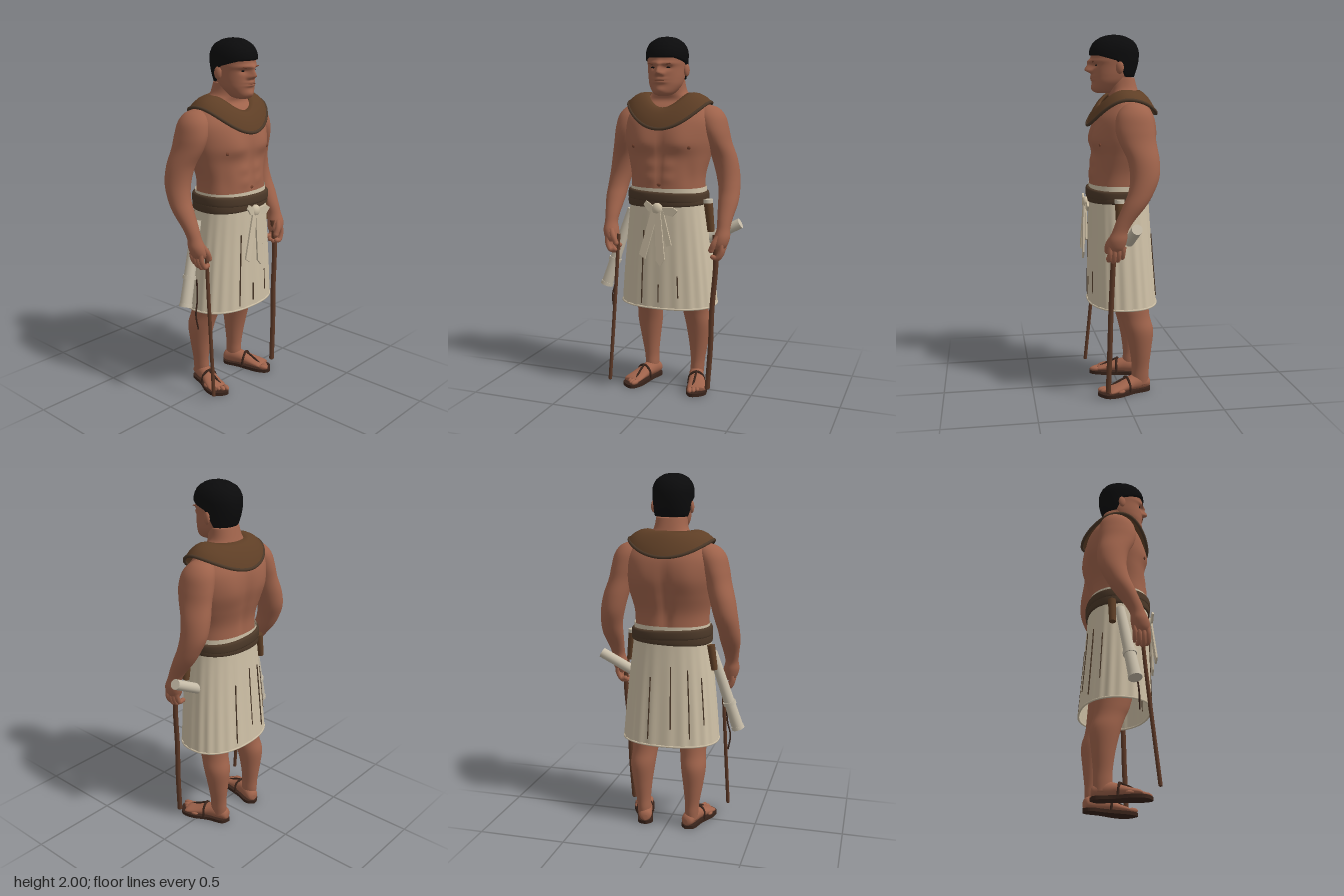
import * as THREE from 'three';

const mat = (name, color, side = THREE.FrontSide) => {
  const m = new THREE.MeshStandardMaterial({ color, side });
  m.name = name;
  return m;
};
const V = (x, y, z) => new THREE.Vector3(x, y, z);
const bell = (x, w) => Math.exp(-((x / w) ** 2));

// Skin joining closed rows of points; rows run upward
function grid(rows, caps = true) {
  const n = rows[0].length, pos = [], idx = [];
  rows.forEach(r => r.forEach(p => pos.push(p.x, p.y, p.z)));
  for (let i = 0; i < rows.length - 1; i++) for (let j = 0; j < n; j++) {
    const a = i * n + j, b = i * n + (j + 1) % n;
    idx.push(a, a + n, b, b, a + n, b + n);
  }
  if (caps) [0, rows.length - 1].forEach((i, top) => {
    const c = V(0, 0, 0), k = pos.length / 3;
    rows[i].forEach(p => c.addScaledVector(p, 1 / n));
    pos.push(c.x, c.y, c.z);
    for (let j = 0; j < n; j++) {
      const a = i * n + j, b = i * n + (j + 1) % n;
      if (top) idx.push(a, k, b); else idx.push(a, b, k);
    }
  });
  const g = new THREE.BufferGeometry();
  g.setAttribute('position', new THREE.Float32BufferAttribute(pos, 3));
  g.setIndex(idx);
  g.computeVertexNormals();
  return g;
}

// Smoothly interpolated rings [y, centreX, centreZ, radiusX, radiusZ]
function sample(rings, sub) {
  const out = [], at = i => rings[Math.min(Math.max(i, 0), rings.length - 1)];
  for (let i = 0; i < rings.length - 1; i++) for (let k = 0; k < sub; k++) {
    const t = k / sub, [p, q, r, s] = [at(i - 1), at(i), at(i + 1), at(i + 2)];
    out.push(q.map((v, c) => v + 0.5 * t * (r[c] - p[c] + t * (2 * p[c] - 5 * v + 4 * r[c] - s[c]
      + t * (3 * (v - r[c]) + s[c] - p[c])))));
  }
  out.push(rings[rings.length - 1]);
  return out;
}
function ringPoint([y, cx, cz, rx, rz], a, n = 2, grow = 0) {
  const f = v => Math.sign(v) * Math.abs(v) ** (2 / n);
  return V(cx + (rx + grow) * f(Math.cos(a)), y, cz + (rz + grow) * f(Math.sin(a)));
}
function loft(rings, { n = 2, seg = 32, sub = 5, caps = true, deform } = {}) {
  return grid(sample(rings, sub).map(r => Array.from({ length: seg }, (_, j) => {
    const a = j / seg * Math.PI * 2, p = ringPoint(r, a, n);
    if (deform) deform(p, a);
    return p;
  })), caps);
}
// Nearest front-facing surface point at x, y
function onFront(g, x, y) {
  const p = g.attributes.position, best = V(0, 0, 0);
  let d = 9;
  for (let i = 0; i < p.count; i++) {
    const e = Math.hypot(p.getX(i) - x, p.getY(i) - y);
    if (p.getZ(i) > 0.03 && e < d) { d = e; best.set(x, y, p.getZ(i)); }
  }
  return best;
}

export function createModel() {
  const model = new THREE.Group();
  const skin = mat('skin', 0x9f634b), lip = mat('dark skin', 0x75432f), black = mat('black hair', 0x0b0b0c);
  const linen = mat('linen', 0xcdbfa5, THREE.DoubleSide), leather = mat('brown leather', 0x5f3f26);
  const sash = mat('sash brown', 0x4b3828, THREE.DoubleSide), wood = mat('wood', 0x5c3826);
  const sole = mat('sole', 0x38231a), paper = mat('scroll', 0xc6bca8);
  const add = (name, g, m, parent = model) => {
    const o = new THREE.Mesh(g, m);
    o.name = name;
    parent.add(o);
    return o;
  };
  const ball = (name, p, sx, sy, sz, m, parent) => {
    const o = add(name, new THREE.SphereGeometry(1, 16, 12), m, parent);
    o.position.copy(p);
    o.scale.set(sx, sy, sz);
    return o;
  };
  const tube = (name, pts, r, m, parent) => add(name,
    new THREE.TubeGeometry(new THREE.CatmullRomCurve3(pts.map(p => V(...p))), 20, r, 10), m, parent);
  const rod = (name, a, b, r1, r2, m) => {
    const o = add(name, new THREE.CylinderGeometry(r2, r1, a.distanceTo(b), 20), m);
    o.position.copy(a).add(b).multiplyScalar(0.5);
    o.quaternion.setFromUnitVectors(V(0, 1, 0), b.clone().sub(a).normalize());
    return o;
  };

  // Torso and neck with chest, belly and back muscles
  const torso = loft([[1.04, 0, 0, .2, .155], [1.15, 0, 0, .208, .16], [1.25, 0, -.002, .212, .157],
    [1.35, 0, -.018, .235, .162], [1.45, 0, -.03, .258, .168], [1.55, 0, -.037, .258, .156],
    [1.62, 0, -.042, .22, .118], [1.66, 0, -.042, .165, .088], [1.7, 0, -.03, .1, .082],
    [1.77, 0, -.012, .085, .08]], { n: 2.25, seg: 96, sub: 8, deform: p => {
    const { x, y } = p, ax = Math.abs(x);
    if (p.z > 0) {
      const under = y < 1.43 ? .05 : .1;
      p.z += .024 * bell(ax - .105, .085) * bell(y - 1.43, under);
      for (const row of [1.31, 1.24]) p.z += .006 * bell(ax - .05, .035) * bell(y - row, .028);
      p.z -= .007 * bell(x, .012) * bell(y - 1.3, .16) + .008 * bell(ax - .16, .03) * bell(y - 1.25, .08);
    } else {
      p.z += .018 * bell(x, .03) * bell(y - 1.3, .2);
      p.z -= .012 * bell(ax - .13, .07) * bell(y - 1.45, .1);
    }
  } });
  add('torso', torso, skin);
  ball('navel', onFront(torso, 0, 1.205), .016, .009, .004, lip);

  // Head with modelled face
  const headRings = [[1.685, 0, .08, .03, .035], [1.7, 0, .07, .058, .068], [1.74, 0, .045, .085, .097],
    [1.78, 0, .03, .095, .113], [1.83, 0, .022, .099, .122], [1.87, 0, .02, .102, .128],
    [1.92, 0, .02, .102, .126], [1.96, 0, .02, .083, .102], [1.985, 0, .02, .046, .056], [1.993, 0, .02, .01, .012]];
  const head = loft(headRings, { n: 2.15, seg: 120, sub: 10, deform: p => {
    if (p.z < .05) return;
    const { x, y } = p, ax = Math.abs(x);
    p.z += .04 * bell(x, .017) * bell(y - 1.81, y < 1.81 ? .013 : .04) + .013 * bell(ax - .018, .012) * bell(y - 1.802, .012);
    p.z += .012 * bell(y - 1.857, .012) * bell(x, .08) - .012 * bell(ax - .04, .022) * bell(y - 1.835, .014);
    p.z += .009 * bell(x, .035) * (bell(y - 1.775, .009) + bell(y - 1.758, .008)) + .008 * bell(x, .03) * bell(y - 1.715, .018);
  } });
  add('head', head, skin);
  ball('mouthLine', onFront(head, 0, 1.767), .033, .0025, .004, lip);

  // Close-cropped hair following the skull above a hairline
  const skull = sample(headRings, 10);
  const hairRows = Array.from({ length: 22 }, (_, i) => Array.from({ length: 64 }, (_, j) => {
    const a = j / 64 * Math.PI * 2, s = Math.sin(a), t = Math.sin(i / 21 * Math.PI / 2);
    const low = s > 0 ? 1.862 + .03 * Math.min(1, s * 1.3) : 1.862 - .09 * Math.min(1, -s * 2.2);
    const y = low + (1.9925 - low) * t;
    const r = skull.find(q => q[0] >= y) || skull[skull.length - 1];
    const p = ringPoint(r, a, 2.15, .009);
    p.y = y + .0075 * t * t;
    return p;
  }));
  add('hair', grid(hairRows), black);

  for (const s of [1, -1]) {
    const side = s > 0 ? 'left' : 'right';
    ball(side + 'Eye', onFront(head, s * .04, 1.836), .017, .0045, .004, black);
    ball(side + 'Eyebrow', onFront(head, s * .042, 1.855), .025, .004, .004, lip).rotation.z = s * .12;
    ball(side + 'Ear', V(s * .107, 1.822, .005), .013, .034, .022, skin).rotation.y = s * -.3;
    ball(side + 'Nipple', onFront(torso, s * .16, 1.41), .012, .01, .006, lip);

    // Arm from shoulder to palm
    const mir = rings => rings.map(([y, cx, ...rest]) => [y, cx * s, ...rest]);
    add(side + 'Arm', loft(mir([[.855, .32, .062, .03, .036], [.88, .325, .062, .042, .048], [.92, .333, .055, .044, .05],
      [.965, .337, .042, .037, .042], [1.02, .338, .015, .043, .048], [1.1, .34, -.035, .056, .062],
      [1.17, .336, -.07, .06, .068], [1.25, .322, -.092, .066, .078], [1.34, .302, -.088, .07, .086],
      [1.43, .275, -.062, .07, .1], [1.5, .255, -.052, .076, .106], [1.57, .234, -.052, .078, .094],
      [1.615, .215, -.055, .06, .062], [1.635, .205, -.055, .02, .022]])), skin);
    // Curled fingers and thumb
    for (let i = 0; i < 4; i++) {
      const z = .022 + i * .024, drop = [.02, .005, 0, .008][i];
      tube(side + 'Finger', [[s * .34, .885, z], [s * .338, .835 + drop, z + .004], [s * .318, .8 + drop, z + .006],
        [s * .293, .803 + drop, z + .004]], .0135, skin);
      ball(side + 'Fingertip', V(s * .293, .803 + drop, z + .004), .0135, .0135, .0135, skin);
    }
    tube(side + 'Thumb', [[s * .32, .925, .085], [s * .3, .885, .103], [s * .285, .85, .102]], .016, skin);
    ball(side + 'ThumbTip', V(s * .285, .85, .102), .016, .016, .016, skin);

    // Leg
    add(side + 'Leg', loft(mir([[.04, .142, -.105, .036, .046], [.09, .143, -.106, .039, .05], [.15, .146, -.107, .042, .05],
      [.25, .15, -.106, .056, .062], [.36, .15, -.098, .071, .08], [.44, .142, -.075, .073, .084],
      [.52, .136, -.055, .082, .096], [.75, .125, -.02, .1, .115], [1.05, .1, 0, .09, .12]])), skin);

    // Foot, toes and sandal, turned outward
    const foot = new THREE.Group();
    foot.name = side + 'Foot';
    foot.position.set(s * .14, 0, -.1);
    foot.rotation.y = s * .3;
    model.add(foot);
    const instep = loft([[-.066, 0, -.04, .012, .016], [-.052, 0, -.047, .034, .032], [0, 0, -.056, .041, .045],
      [.06, 0, -.052, .042, .038], [.13, .004 * s, -.04, .05, .025], [.18, .004 * s, -.033, .054, .018],
      [.2, .004 * s, -.029, .048, .011]]).rotateX(Math.PI / 2);
    add('instep', instep, skin, foot);
    for (let i = 0; i < 5; i++)
      ball('toe', V(s * (-.037 + .022 * i), .03, .212 - .008 * i * i * .6), .0145 - .001 * i, .014 - .001 * i, .03 - .002 * i, skin, foot);
    const outline = new THREE.Shape(new THREE.SplineCurve([[0, -.072], [.042, -.04], [.044, .05], [.062, .15], [.045, .22],
      [-.03 * 1, .245], [-.058, .18], [-.044, .05], [-.042, -.04], [0, -.072]]
      .map(([x, z]) => new THREE.Vector2(x * s, z))).getPoints(50));
    add('sandalSole', new THREE.ExtrudeGeometry(outline, { depth: .019, bevelEnabled: false })
      .rotateX(Math.PI / 2).translate(0, .019, 0), sole, foot);
    tube('sandalStrap', [[-.048, .015, .075], [-.036, .07, .08], [0, .091, .08], [.036, .07, .08], [.048, .015, .075]], .007, sole, foot);
    tube('sandalThong', [[0, .09, .085], [-.008 * s, .07, .13], [-.026 * s, .028, .207]], .006, sole, foot);
  }

  // Broad collar draped over the shoulders
  const drape = (a, t, lift) => {
    const c = Math.cos(a), s = Math.sin(a), k = s * s, mix = THREE.MathUtils.lerp;
    const inner = 1.69 - (s > 0 ? .075 : -.004) * k, outer = 1.65 - (s > 0 ? .14 : .08) * k;
    return V(mix(.108, .236, t) * c, mix(inner, outer, t) + .018 * Math.sin(t * Math.PI) + lift,
      mix(-.012, -.022, t) + mix(.11, .192, t) * s);
  };
  const section = [[1, -.008], [1, .007], [.75, .01], [.5, .01], [.25, .01], [0, .008], [0, -.008], [.5, -.008], [1, -.008]];
  add('collar', grid(section.map(([t, l]) => Array.from({ length: 72 }, (_, j) => drape(j / 72 * Math.PI * 2, t, l))), false), leather);
  add('collarRim', new THREE.TubeGeometry(new THREE.CatmullRomCurve3(
    Array.from({ length: 36 }, (_, j) => drape(j / 36 * Math.PI * 2, 1, 0)), true), 90, .009, 8, true), sash);

  // Pleated wrap skirt
  const skirtRings = [[.51, 0, -.02, .276, .192], [.7, 0, -.014, .26, .183], [.9, 0, -.008, .24, .174],
    [1.08, 0, -.003, .22, .168], [1.185, 0, -.004, .214, .165]];
  add('skirt', loft(skirtRings, { n: 2.3, seg: 144, caps: false, deform: (p, a) => {
    const f = 1 + .012 * Math.sin(a * 22) * Math.min(1, (1.19 - p.y) * 2);
    p.x *= f;
    p.z *= f;
  } }), linen);
  add('skirtHem', new THREE.TubeGeometry(new THREE.CatmullRomCurve3(Array.from({ length: 48 },
    (_, j) => ringPoint(skirtRings[0], j / 24 * Math.PI, 2.3)), true), 96, .006, 6, true), linen);
  for (const [a, low, high] of [[1.2, .56, .7], [1.57, .54, .66], [1.9, .53, .95], [4.2, .55, .95], [4.6, .6, .98], [5, .54, .9], [3.8, .62, .9]]) {
    const rows = sample(skirtRings, 12).filter(r => r[0] >= low && r[0] <= high);
    tube('pleatSeam', rows.map(r => ringPoint(r, a, 2.3, .0015).toArray()), .0035, sash);
  }

  // Two wound sash bands
  [[.016, 1.11], [-.016, 1.137]].forEach(([tilt, y], i) => {
    const o = add('sashBand', loft([[-.028, 0, 0, .218, .168], [-.02, 0, 0, .229, .178 + i * .003],
      [.02, 0, 0, .227, .177 + i * .003], [.028, 0, 0, .213, .165]], { n: 2.3, seg: 72, caps: false }), sash);
    o.position.set(0, y, -.003);
    o.rotation.z = tilt * 2;
  });

  // Linen bow at the waist: knot, loops and hanging tails
  ball('knot', V(0, 1.075, .182), .032, .034, .022, linen);
  const ribbon = (name, pts, z, tilt) => {
    const g = new THREE.ExtrudeGeometry(new THREE.Shape(pts.map(p => new THREE.Vector2(...p))), { depth: .01, bevelEnabled: false });
    const o = add(name, g, linen);
    o.position.set(0, 1.07, z);
    o.rotation.set(tilt, 0, 0);
  };
  ribbon('rightLoop', [[0, .01], [-.06, .05], [-.075, .03], [-.05, -.005], [0, -.02]], .185, 0);
  ribbon('leftLoop', [[0, -.02], [.09, -.03], [.12, 0], [.09, .02], [0, .015]], .178, 0);
  ribbon('rightTail', [[-.03, 0], [-.1, -.25], [-.065, -.275], [.005, -.02]], .185, -.04);
  ribbon('middleTail', [[-.012, 0], [.0, -.28], [.025, -.31], [.05, -.27], [.022, 0]], .188, -.03);
  ribbon('leftTail', [[.01, 0], [.055, -.2], [.085, -.19], [.035, 0]], .18, -.02);

  // Walking staffs, one in each hand
  tube('leftStaff', [[.295, .93, .065], [.305, .78, .075], [.287, .5, .085], [.283, .3, .09], [.268, .05, .097]], .0145, wood);
  tube('rightStaff', [[-.278, .9, .075], [-.285, .7, .09], [-.295, .4, .118], [-.308, .05, .152]], .0105, wood);
  for (const [x, y, z, r] of [[.268, .05, .097, .0145], [-.308, .05, .152, .0105]])
    ball('staffTip', V(x, y, z), r, r * .6, r, wood);

  // Scrolls tucked at the hips
  rod('leftScroll', V(.225, .885, -.025), V(.412, .985, -.035), .029, .029, paper);
  const top = V(-.24, 1.03, -.035), end = V(-.385, .575, .015);
  const along = t => top.clone().lerp(end, t);
  rod('rightScroll', along(1), top, .034, .026, paper);
  rod('scrollRing', along(.68), along(.64), .037, .037, paper);
  rod('scrollCuff', along(1), along(.96), .037, .036, paper);
  tube('scrollCord', [[-.31, .72, .03], [-.318, .6, .04], [-.335, .52, .045], [-.322, .43, .05]], .0045, sole);

  // Sheaths hanging from the sash
  rod('leftSheath', V(.262, .94, .03), V(.243, 1.115, .03), .02, .026, leather);
  rod('leftSheathCap', V(.243, 1.1, .03), V(.242, 1.12, .03), .028, .028, paper);
  rod('rightSheath', V(-.262, .94, -.08), V(-.24, 1.08, -.08), .018, .022, leather);
  return model;
}
